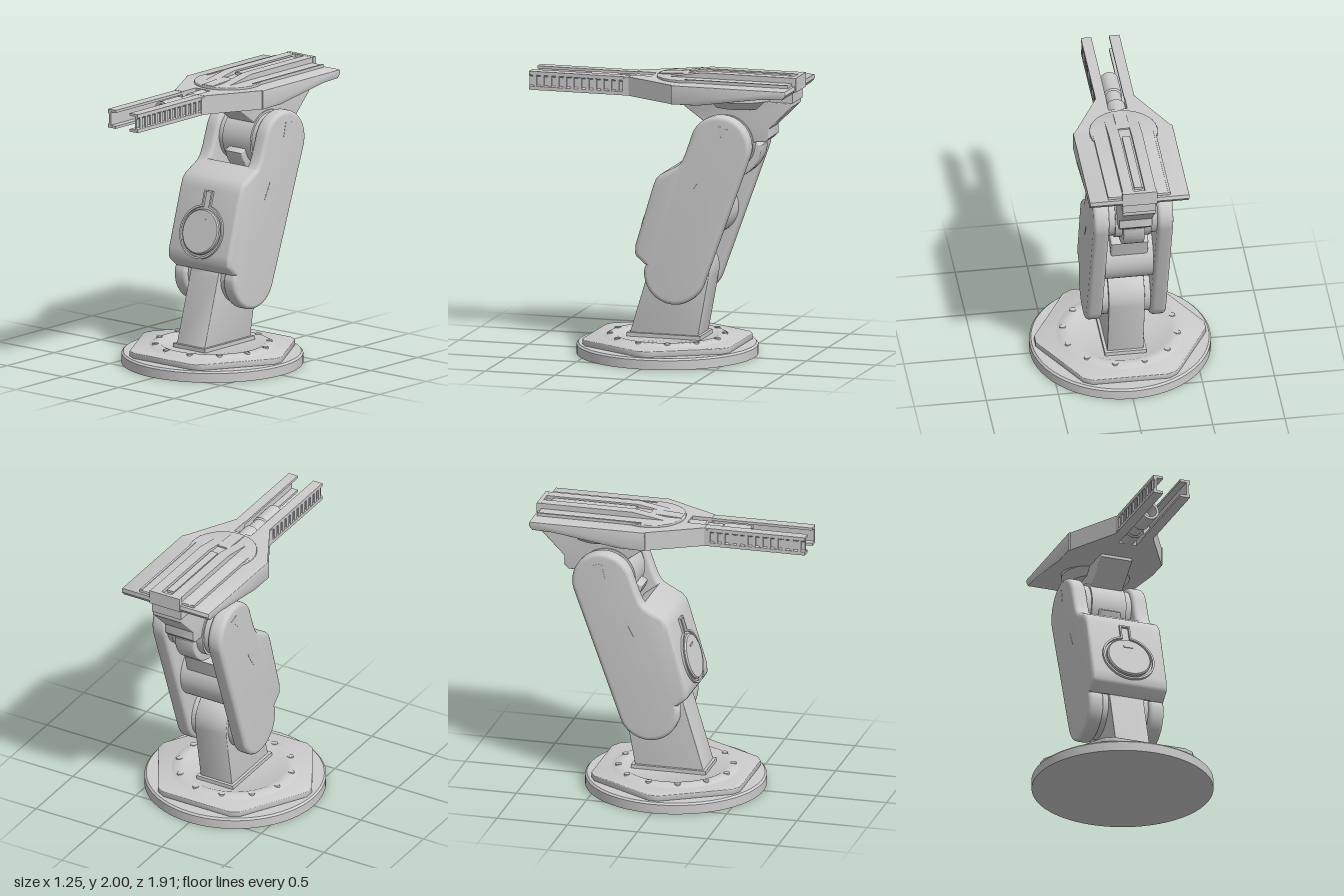
import * as THREE from 'three';
import { toCreasedNormals } from 'three/addons/utils/BufferGeometryUtils.js';

const material = new THREE.MeshStandardMaterial({ color: 0xcccccc });

export function createModel() {
  const model = new THREE.Group();

  const add = (name, geometry, x = 0, y = 0, z = 0, parent = model) => {
    const mesh = new THREE.Mesh(geometry, material);
    mesh.name = name;
    mesh.position.set(x, y, z);
    parent.add(mesh);
    return mesh;
  };
  const toShape = (pts) => new THREE.Shape(pts.map(([a, b]) => new THREE.Vector2(a, b)));
  const extrude = (shape, depth, bevel = 0) => {
    const g = new THREE.ExtrudeGeometry(shape, {
      depth: depth - 2 * bevel, bevelEnabled: bevel > 0, bevelSize: bevel,
      bevelThickness: bevel, bevelOffset: -bevel, bevelSegments: 4, curveSegments: 32,
    });
    return toCreasedNormals(g.translate(0, 0, bevel), 0.6);
  };
  // Profile of [z, y] points, extruded across x and centred on it
  const across = (pts, width, bevel) =>
    extrude(toShape(pts), width, bevel).translate(0, 0, -width / 2).rotateY(-Math.PI / 2);
  // Outline of [x, z] points, extruded upwards
  const upwards = (pts, height, bevel) =>
    extrude(toShape(pts.map(([x, z]) => [x, -z])), height, bevel).rotateX(-Math.PI / 2);
  const axle = (r, length) => new THREE.CylinderGeometry(r, r, length, 48).rotateZ(Math.PI / 2);
  const arc = (cx, cy, r, from, to, n = 20) => Array.from({ length: n + 1 }, (_, i) => {
    const a = THREE.MathUtils.degToRad(from + (to - from) * i / n);
    return [cx + r * Math.cos(a), cy + r * Math.sin(a)];
  });
  const mirrored = (pts) => [...pts, ...pts.map(([x, z]) => [-x, z]).reverse()];
  const lathe = (pts) => toCreasedNormals(
    new THREE.LatheGeometry(pts.map(([r, y]) => new THREE.Vector2(r, y)), 64), 0.5);

  // Base: round foot, chamfered hexagon plate, bolt ring
  add('baseDisc', lathe([[0, 0], [0.625, 0], [0.625, 0.065], [0.612, 0.078], [0, 0.078]]));
  const hexagon = [];
  for (let i = 0; i < 6; i++) {
    for (const d of [-3.5, 3.5]) {
      const a = THREE.MathUtils.degToRad(i * 60 + d);
      hexagon.push([0.592 * Math.cos(a), 0.592 * Math.sin(a)]);
    }
  }
  add('hexagonPlate', upwards(hexagon, 0.044, 0.006), 0, 0.076, 0);
  add('boltRing', lathe([[0, 0.118], [0.44, 0.118], [0.4, 0.138], [0.36, 0.138], [0.34, 0.128], [0, 0.128]]));
  for (let i = 0; i < 12; i++) {
    const a = THREE.MathUtils.degToRad(13 + i * 30);
    add('baseBolt', new THREE.CylinderGeometry(0.022, 0.022, 0.018, 12),
      0.395 * Math.cos(a), 0.134, 0.395 * Math.sin(a));
  }

  // Post leaning back into the lower pivot
  const low = [-0.125, 0.605], high = [-0.455, 1.515];
  add('postCollar', new THREE.BoxGeometry(0.29, 0.03, 0.53), 0, 0.14, -0.015);
  add('post', across([[-0.255, 0.14], [0.235, 0.14], [0.09, 0.62], ...arc(...low, 0.212, 15, 190)], 0.25, 0.004));

  // Arm: two side plates with pivot discs
  const front = [[0.075, 0.66], [0.14, 0.715], [0.15, 0.735], [0.145, 0.8], [0.018, 1.22],
    [0.0, 1.265], [-0.03, 1.295], [-0.085, 1.325], [-0.15, 1.36], [-0.18, 1.395]];
  const plate = [...arc(...low, 0.215, 200, 368, 28), ...front, [-0.205, 1.45], ...arc(...high, 0.215, 14, 200, 28)];
  for (const s of [-1, 1]) {
    add('armSidePlate', across(plate, 0.11, 0.028), s * 0.222, 0, 0);
    for (const [z, y] of [low, high]) add('pivotDisc', axle(0.185, 0.06), s * 0.15, y, z);
    // Slim marks on the outer faces
    add('plateMark', across([[-0.43, 1.55], [-0.455, 1.66], [-0.525, 1.64]], 0.004), s * 0.277, 0, 0);
    add('plateMark', across([[-0.225, 1.14], [-0.285, 1.26], [-0.298, 1.25]], 0.004), s * 0.277, 0, 0);
  }

  // Arm cover between the plates and the housing behind it
  add('armCover', across([...front.slice(0, -1).map(([z, y]) => [z + 0.005, y]),
    [-0.17, 1.375], [-0.27, 1.3], [-0.12, 0.74]], 0.548, 0.025));
  add('motorHousing', axle(0.2, 0.34), 0, 1.02, -0.26);
  add('motorBackPanel', across([[-0.3, 0.98], [-0.2, 1.26], [-0.37, 1.26], [-0.48, 1.22], [-0.42, 1.02]], 0.26, 0.015));

  // Round knob with a keyhole rim on the cover face
  const knob = new THREE.Group();
  knob.name = 'coverKnob';
  knob.position.set(0, 0.935, 0.107);
  knob.rotation.x = -Math.atan(0.302);
  model.add(knob);
  const keyhole = (r, half, top) => {
    const a = THREE.MathUtils.radToDeg(Math.acos(half / r));
    return [[half, top], [-half, top], ...arc(0, 0, r, 180 - a, 360 + a, 48)];
  };
  const rim = toShape(keyhole(0.188, 0.038, 0.29));
  rim.holes.push(new THREE.Path(keyhole(0.174, 0.026, 0.278).map(([x, y]) => new THREE.Vector2(x, y))));
  add('keyholeRim', extrude(rim, 0.018), 0, 0, 0, knob);
  add('knobDisc', lathe([[0, 0], [0.158, 0], [0.158, 0.018], [0.15, 0.028], [0, 0.028]])
    .rotateX(Math.PI / 2), 0, 0, 0, knob);
  add('knobMark', new THREE.BoxGeometry(0.065, 0.012, 0.006), 0, 0.085, 0.029, knob);

  // Wrist: roller, neck and turret under the head
  add('wristRoller', axle(0.2, 0.25), 0, high[1], high[0]);
  add('wristBand', across(arc(high[0], high[1] - 0.01, 0.245, 180, 345, 20).concat([[-0.46, 1.58]]), 0.15, 0.01), 0, 0, 0);
  add('wristNeck', across([[-0.11, 1.82], [-0.11, 1.79], [-0.3, 1.655], [-0.45, 1.5], [-0.69, 1.535], [-0.735, 1.535],
    [-0.765, 1.565], [-0.765, 1.63], [-0.925, 1.79], [-0.925, 1.82]], 0.23, 0.008));
  add('turret', lathe([[0, 1.765], [0.185, 1.765], [0.235, 1.82], [0.235, 1.87], [0, 1.87]]), 0, 0, -0.53);
  add('rearLatch', new THREE.BoxGeometry(0.23, 0.07, 0.17), 0, 1.855, -0.85);
  add('rearLatchCap', new THREE.BoxGeometry(0.24, 0.1, 0.03), 0, 1.948, -0.945);

  // Head: wide rear slab whose underside rises to the back, then a tapered nose
  add('headRear', across([[-0.13, 1.81], [-0.13, 1.942], [-0.95, 1.942], [-0.955, 1.915],
    [-0.93, 1.885], [-0.78, 1.88], [-0.32, 1.812]].reverse(), 0.69, 0.004));
  add('headNose', upwards(mirrored([[0.345, -0.15], [0.135, 0.24], [0.065, 0.24], [0.065, 0.1]]).reverse(), 0.132), 0, 1.81, 0);

  // Raised deck with a rounded front, rails and tab
  add('topDeck', upwards([[0.212, -0.93], [-0.212, -0.93],
    ...arc(0, -0.17, 0.235, 205, -25, 32)], 0.024, 0.005), 0, 1.935, 0);
  const rail = (z0, top) => [[z0, 1.945], [z0, 1.958], [-0.28, top], [-0.95, top], [-0.95, 1.945]];
  add('deckBed', across(rail(-0.05, 1.972), 0.22));
  add('centreRail', across([[-0.28, 1.945], [-0.28, 1.99], [-0.88, 1.99], [-0.88, 1.945]], 0.055));
  for (const s of [-1, 1]) {
    add('deckRail', across(rail(-0.05, 1.997), 0.075), s * 0.078, 0, 0);
    add('edgeRail', new THREE.BoxGeometry(0.016, 0.026, 0.74), s * 0.208, 1.95, -0.56);
  }
  add('deckTab', across([[0.05, 1.94], [0.05, 1.962], [-0.17, 1.975], [-0.17, 1.94]], 0.09));

  // Stepped barrel in the nose slot
  const barrel = [[0, 0.05], [0.066, 0.05], [0.066, 0.22], [0.055, 0.23], [0.055, 0.34],
    [0.064, 0.35], [0.064, 0.54], [0.045, 0.54], [0.045, 0.42], [0, 0.42]];
  add('barrel', lathe(barrel).rotateX(Math.PI / 2), 0, 1.873, 0);

  // Channel-shaped prongs, open inwards, with ribs outside
  const channel = [[0.062, 1.81], [0.134, 1.81], [0.134, 1.835], [0.124, 1.845], [0.124, 1.905], [0.134, 1.915],
    [0.134, 1.94], [0.062, 1.94], [0.062, 1.922], [0.108, 1.922], [0.108, 1.828], [0.062, 1.828]];
  for (const s of [-1, 1]) {
    const pts = channel.map(([x, y]) => [s * x, y]);
    add('prong', extrude(toShape(pts), 0.735), 0, 0, 0.22);
    add('prongRoot', new THREE.BoxGeometry(0.03, 0.11, 0.06), s * 0.122, 1.875, 0.25);
    for (let i = 0; i < 12; i++) {
      add('prongRib', new THREE.BoxGeometry(0.012, 0.08, 0.026), s * 0.127, 1.875, 0.32 + i * 0.054);
    }
  }
  return model;
}
